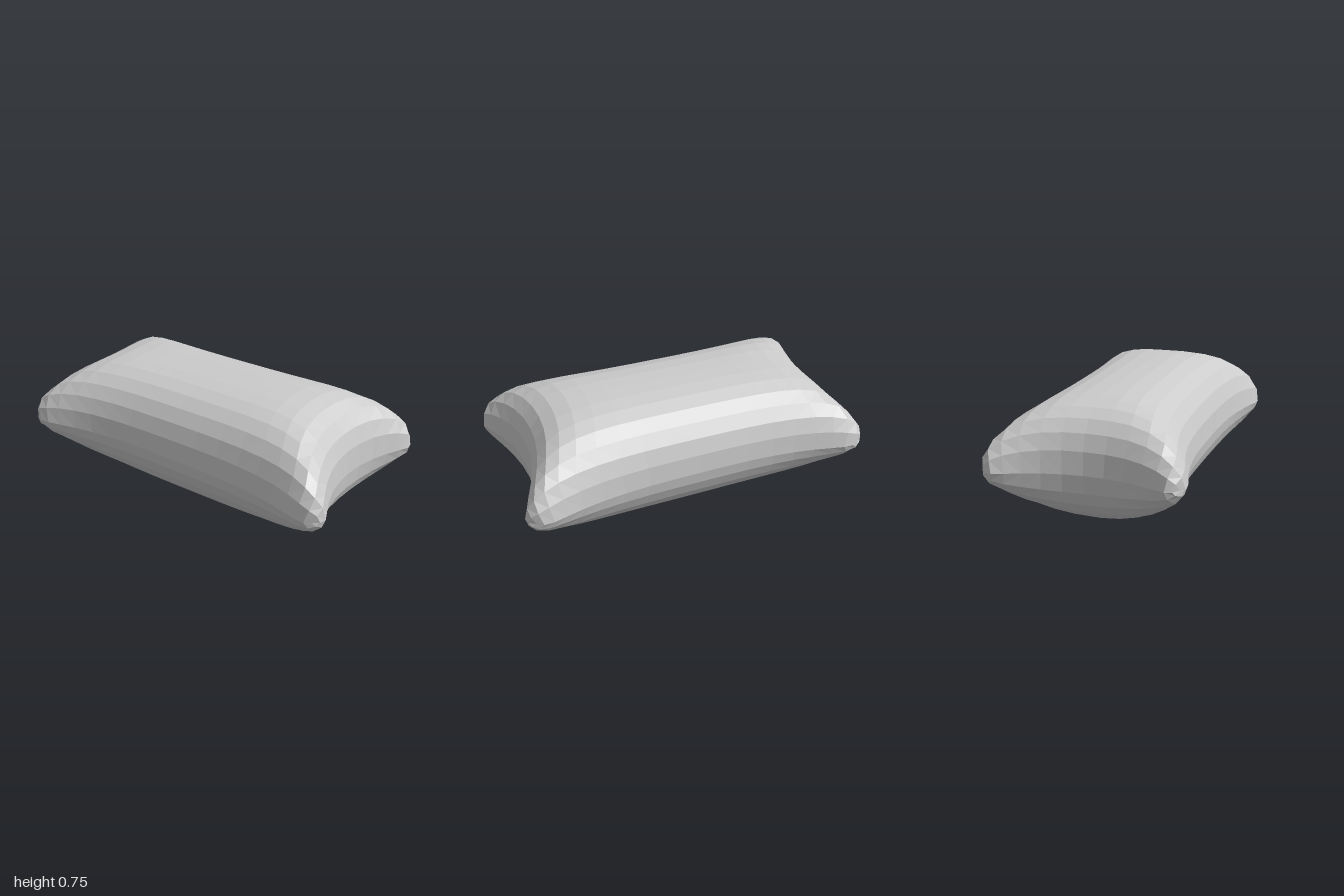
import * as THREE from 'three';

const SEAM_Y = 0.38;
const NU = 20, NV = 14;

// Fullness of a panel along one direction: 1 in the middle, 0 at the seam
const bulge = (t, power, round) => Math.pow(Math.max(0, 1 - Math.pow(Math.abs(t), power)), round);

// Plan outline: pinched sides flaring into corners that are cut off at the tip
function plan(u, v) {
  const a = Math.abs(u);
  return [
    u * (0.877 + 0.16 * v ** 2 - 0.07 * v ** 24) - 0.012 * (1 - v * v),
    v * (0.446 + 0.14 * a ** 3 - 0.08 * a ** 24),
  ];
}

// One half of the cushion, a grid that gets finer towards the seam
function panel(name, height, up, material) {
  const positions = [], index = [];
  for (let i = 0; i <= NU; i++) {
    for (let j = 0; j <= NV; j++) {
      const u = Math.sin((i / NU - 0.5) * Math.PI);
      const v = Math.sin((j / NV - 0.5) * Math.PI);
      const [x, z] = plan(u, v);
      positions.push(x, SEAM_Y + height(u, v, x), z);
    }
  }
  for (let i = 0; i < NU; i++) {
    for (let j = 0; j < NV; j++) {
      const a = i * (NV + 1) + j, b = a + 1, c = a + NV + 1, d = c + 1;
      // Diagonals mirror about the centre and run across each corner
      const tris = (i < NU / 2) === (j < NV / 2)
        ? [[a, b, c], [b, d, c]]
        : [[a, b, d], [a, d, c]];
      for (const [p, q, r] of tris) index.push(...(up ? [p, q, r] : [p, r, q]));
    }
  }
  const geometry = new THREE.BufferGeometry();
  geometry.setAttribute('position', new THREE.Float32BufferAttribute(positions, 3));
  geometry.setIndex(index);
  geometry.computeVertexNormals();
  const mesh = new THREE.Mesh(geometry, material);
  mesh.name = name;
  return mesh;
}

export function createModel() {
  const group = new THREE.Group();
  group.name = 'pillow';
  const material = new THREE.MeshStandardMaterial({ color: 0xcccccc, flatShading: true });

  // Plump top, slightly fuller towards +x
  group.add(panel('topPanel',
    (u, v, x) => (0.366 + 0.018 * x) * bulge(u, 7, 0.42) * bulge(v, 3, 0.45), true, material));

  // Underside, rounder and more keel-like
  group.add(panel('bottomPanel',
    (u, v) => -0.38 * bulge(u, 3, 0.4) * bulge(v, 2, 0.55), false, material));

  return group;
}
